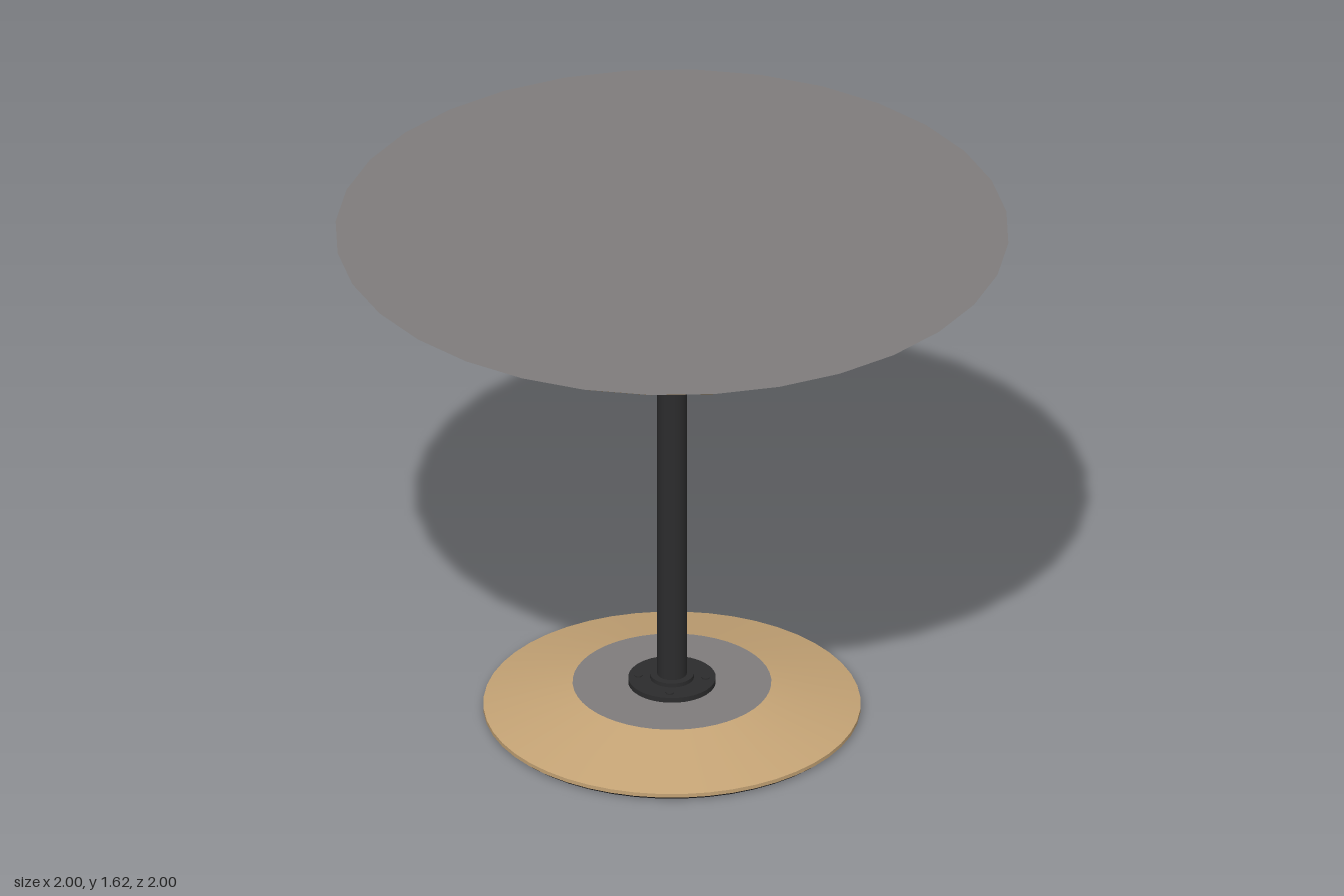
import * as THREE from 'three';

const material = (name, color) => {
  const m = new THREE.MeshStandardMaterial({ color });
  m.name = name;
  return m;
};

export function createModel() {
  const wood = material('wood', 0xc4a375);
  const grey = material('greySurface', 0x7f7c7c);
  const black = material('blackMetal', 0x2c2c2d);
  const steel = material('boltSteel', 0x6a6a6a);

  const table = new THREE.Group();
  table.name = 'roundPedestalTable';

  // Round section between two heights; top and bottom faces may differ in colour
  function disc(name, y0, y1, r0, r1, side, top = side, bottom = side, sides = 32) {
    const geometry = new THREE.CylinderGeometry(r1, r0, y1 - y0, sides);
    const mesh = new THREE.Mesh(geometry, [side, top, bottom]);
    mesh.name = name;
    mesh.position.y = (y0 + y1) / 2;
    table.add(mesh);
    return mesh;
  }

  // Small bolt heads spaced around the axis
  function bolts(name, y0, y1, ring, radius, mat) {
    for (let i = 0; i < 4; i++) {
      const a = (i * Math.PI) / 2;
      const bolt = disc(name, y0, y1, radius, radius, mat, mat, mat, 8);
      bolt.position.x = Math.cos(a) * ring;
      bolt.position.z = Math.sin(a) * ring;
    }
  }

  // Tabletop with bevelled underside
  disc('tabletop', 1.572, 1.617, 0.92, 1, wood, grey, wood);

  // Mounting plate with softened lower edge
  const plateProfile = [
    [0, 1.54], [0.55, 1.54], [0.563, 1.545], [0.57, 1.555], [0.57, 1.572],
  ].map(([x, y]) => new THREE.Vector2(x, y));
  const plate = new THREE.Mesh(new THREE.LatheGeometry(plateProfile, 48), black);
  plate.name = 'mountingPlate';
  table.add(plate);
  bolts('plateBolt', 1.537, 1.542, 0.5, 0.012, steel);

  // Upper cone and flange
  disc('upperCone', 1.46, 1.541, 0.18, 0.29, wood);
  disc('upperFlange', 1.448, 1.46, 0.13, 0.13, black);
  disc('upperCollar', 1.436, 1.448, 0.065, 0.065, black);
  bolts('upperFlangeBolt', 1.444, 1.449, 0.1, 0.012, black);

  // Column
  disc('column', 0.1, 1.45, 0.044, 0.044, black);

  // Lower flange
  disc('lowerCollar', 0.11, 0.123, 0.065, 0.065, black);
  disc('lowerFlange', 0.094, 0.11, 0.13, 0.13, black);
  bolts('lowerFlangeBolt', 0.109, 0.114, 0.1, 0.012, black);

  // Base: sloped cover, rim and dark underside
  disc('baseCover', 0.022, 0.094, 0.56, 0.295, wood, grey, wood, 48);
  disc('baseRim', 0.01, 0.022, 0.56, 0.56, wood, wood, black, 48);
  disc('basePad', 0, 0.01, 0.548, 0.558, black, black, black, 48);

  return table;
}
